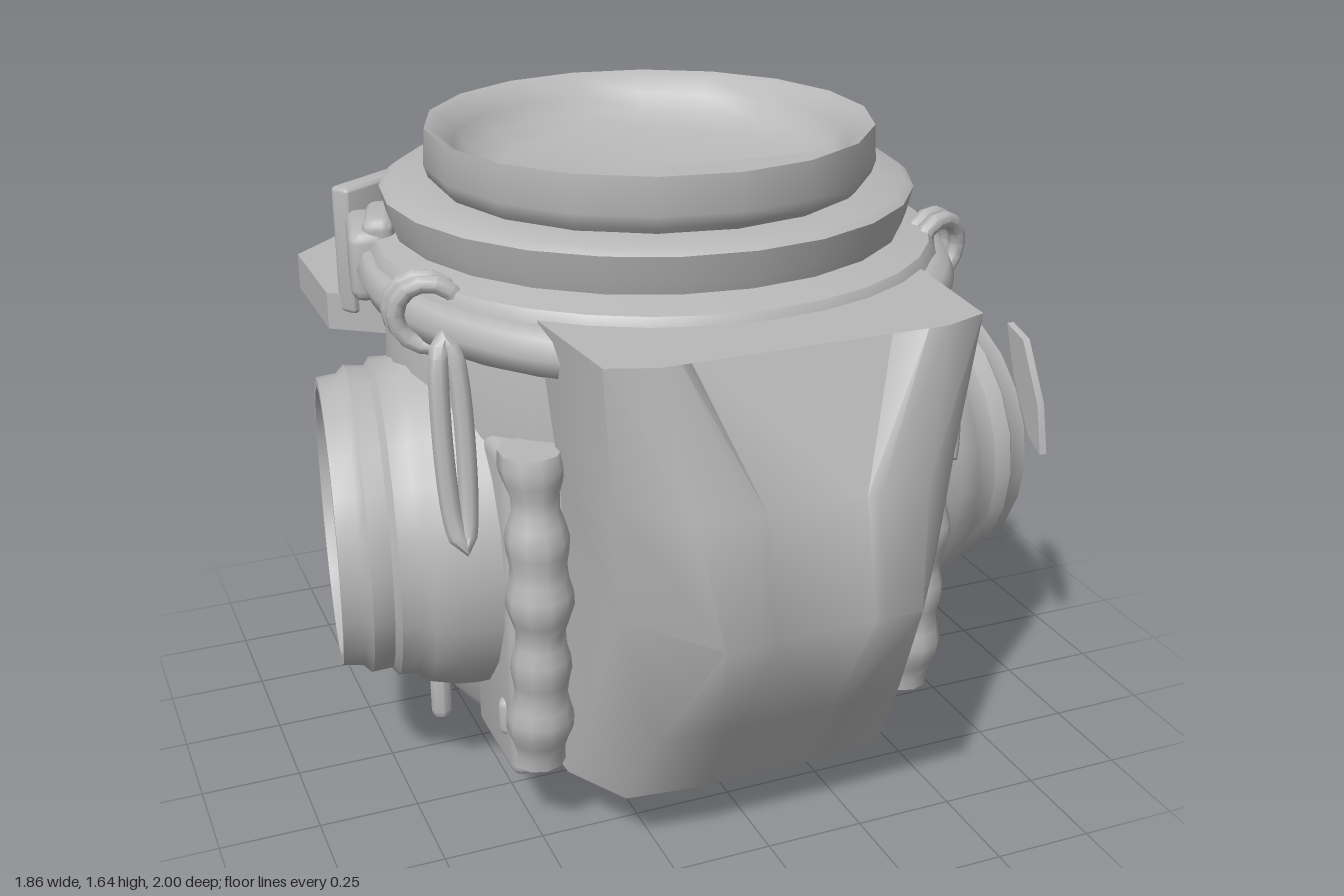
import * as THREE from 'three';
import { toCreasedNormals } from 'three/addons/utils/BufferGeometryUtils.js';
import { RoundedBoxGeometry } from 'three/addons/geometries/RoundedBoxGeometry.js';

const shellGrey = new THREE.MeshStandardMaterial({ color: 0xb8b8b8, side: THREE.DoubleSide });
shellGrey.name = 'shellGrey';

export function createModel() {
  const model = new THREE.Group();
  model.name = 'suitTorso';

  function add(name, geo, pos = [0, 0, 0], rot = [0, 0, 0], parent = model, crease = 0.8) {
    const mesh = new THREE.Mesh(toCreasedNormals(geo, crease), shellGrey);
    mesh.name = name;
    mesh.position.set(...pos);
    mesh.rotation.set(...rot);
    parent.add(mesh);
  }
  const lathe = (pts, n = 28) => new THREE.LatheGeometry(pts.map(p => new THREE.Vector2(...p)), n);
  const box = (w, h, d, r = 0.03) => new RoundedBoxGeometry(w, h, d, 2, r);
  const tube = (pts, r, closed = false, n = 24) => new THREE.TubeGeometry(
    new THREE.CatmullRomCurve3(pts.map(p => new THREE.Vector3(...p)), closed), n, r, 8, closed);
  const plate = (pts, depth) => new THREE.ExtrudeGeometry(
    new THREE.Shape(pts.map(q => new THREE.Vector2(...q))), { depth, bevelEnabled: false });

  // Circle segment beyond a straight chord, used as a lip inside openings
  function segment(radius, chord) {
    const a = Math.acos(chord / radius);
    const shape = new THREE.Shape();
    shape.absarc(0, 0, radius, -a, a, false);
    shape.closePath();
    return new THREE.ShapeGeometry(shape, 12);
  }

  // Skin across rows of points, each row mirrored in x, with closed ends
  function loft(rows) {
    const pos = [], idx = [];
    const n = rows[0].pts.length * 2;
    for (const { y, pts } of rows) {
      for (const [x, z] of pts) pos.push(-x, y, z);
      for (const [x, z] of [...pts].reverse()) pos.push(x, y, z);
    }
    for (let r = 0; r < rows.length - 1; r++) {
      for (let i = 0; i < n; i++) {
        const a = r * n + i, b = r * n + (i + 1) % n;
        if (i < n / 2) idx.push(a, b, a + n, b, b + n, a + n);
        else idx.push(a, b, b + n, a, b + n, a + n);
      }
    }
    const top = (rows.length - 1) * n;
    for (let i = 0; i < n / 2 - 1; i++) {
      const a = i, b = i + 1, c = n - 2 - i, d = n - 1 - i;
      idx.push(a, c, b, a, d, c, top + a, top + b, top + c, top + a, top + c, top + d);
    }
    const geo = new THREE.BufferGeometry();
    geo.setAttribute('position', new THREE.Float32BufferAttribute(pos, 3));
    geo.setIndex(idx);
    return geo;
  }

  // Torso shell
  const torso = lathe([[0, 0.19], [0.56, 0.16], [0.62, 0.24], [0.66, 0.42], [0.68, 0.7],
    [0.69, 1.0], [0.68, 1.2], [0.66, 1.3]], 32);
  torso.scale(1, 1, 0.9);
  add('torso', torso);

  // Collar flange and the two neck rings
  add('collarFlange', lathe([[0.62, 1.17], [0.68, 1.2], [0.71, 1.25], [0.71, 1.33], [0.69, 1.36], [0.58, 1.38]], 32),
    [0, 0, -0.01]);
  add('lowerNeckRing', lathe([[0.58, 1.36], [0.64, 1.38], [0.65, 1.41], [0.665, 1.475],
    [0.645, 1.49], [0.53, 1.495]], 24), [0, 0, -0.05]);
  add('upperNeckRing', lathe([[0.52, 1.48], [0.55, 1.51], [0.56, 1.54], [0.555, 1.63], [0.53, 1.62],
    [0.49, 1.58], [0.46, 1.535], [0.38, 1.51], [0.17, 1.48], [0, 1.475]], 18), [0, 0, -0.03]);
  const lip = segment(0.525, 0.37);
  lip.rotateX(-Math.PI / 2).rotateY(-Math.PI / 2);
  add('neckLip', lip, [0, 1.605, -0.03]);

  // Chest unit with a stepped recess in its upper edge
  add('chestUnit', loft([
    { y: 0.16, pts: [[0.44, 0.3], [0.43, 0.5], [0.34, 0.66], [0.17, 0.68], [0.13, 0.68]] },
    { y: 0.4, pts: [[0.43, 0.45], [0.42, 0.63], [0.31, 0.8], [0.16, 0.82], [0.12, 0.82]] },
    { y: 0.72, pts: [[0.42, 0.5], [0.4, 0.78], [0.24, 1.0], [0.15, 1.0], [0.12, 1.0]] },
    { y: 1.0, pts: [[0.44, 0.5], [0.42, 0.8], [0.28, 0.93], [0.145, 0.95], [0.12, 0.94]] },
    { y: 1.34, pts: [[0.48, 0.5], [0.45, 0.83], [0.34, 0.87], [0.29, 0.87], [0.25, 0.79]] },
  ]), [0, 0, 0], [0, 0, 0], model, 0.95);

  for (const s of [1, -1]) {
    const side = s > 0 ? 'left' : 'right';

    // Shoulder opening, turned slightly backward
    const arm = new THREE.Group();
    arm.name = side + 'ArmOpening';
    arm.position.set(0, 0.695, 0.125);
    arm.rotation.y = s * 0.15;
    model.add(arm);
    add(side + 'ArmRing', lathe([[0.45, 0.4], [0.44, 0.6], [0.425, 0.67], [0.4, 0.7], [0.4, 0.745],
      [0.38, 0.76], [0.385, 0.81], [0.365, 0.83], [0.36, 0.88], [0.335, 0.88],
      [0.31, 0.82], [0.26, 0.765], [0, 0.72]], 22), [0, 0, 0], [0, 0, -s * Math.PI / 2], arm);
    add(side + 'ArmLip', segment(0.335, 0.16), [s * 0.86, 0, 0], [0, -Math.PI / 2, 0], arm);

    // Lumpy pleated edge beside the chest unit
    const pleat = new THREE.CylinderGeometry(0.07, 0.07, 0.82, 10, 24);
    const p = pleat.attributes.position;
    for (let i = 0; i < p.count; i++) {
      const y = p.getY(i), k = 1 + 0.12 * Math.sin(y * 38) + 0.08 * Math.sin(y * 17);
      p.setXYZ(i, p.getX(i) * k, y, p.getZ(i) * k - 0.25 * y ** 2);
    }
    add(side + 'Pleat', pleat, [s * 0.5, 0.62, 0.53]);
    add(side + 'SidePanel', box(0.14, 0.85, 0.3), [s * 0.5, 0.6, 0.36]);

    // Hose round the collar with its double clamp
    const hose = [];
    for (let i = 0; i <= 8; i++) {
      const a = 0.58 + i * 0.2;
      hose.push([s * 0.68 * Math.sin(a), 1.27 + 0.003 * i, 0.72 * Math.cos(a)]);
    }
    add(side + 'CollarHose', tube(hose, 0.06), [0, 0, 0], [0, 0, 0], model, 1.2);
    for (const z of [0.22, 0.27]) {
      add(side + 'Clamp', new THREE.TorusGeometry(0.078, 0.022, 8, 14), [s * 0.66, 1.3, z], [0.1, s * 0.35, 0]);
    }
    add(side + 'ShoulderBlock', box(0.1, 0.18, 0.24), [s * 0.67, 1.29, -0.26], [0, s * 0.2, 0]);
    add(side + 'ShoulderKnob', box(0.08, 0.08, 0.2), [s * 0.64, 1.37, -0.24], [0, s * 0.3, 0]);

    // Hanging strap loop
    const [x, low, z] = s > 0 ? [0.55, 0.86, 0] : [-0.66, 0.81, -0.08];
    add(side + 'StrapLoop', tube([[x - 0.018, 1.24, 0.48], [x - 0.018, low + 0.06, 0.54], [x, low, 0.56],
      [x + 0.018, low + 0.06, 0.54], [x + 0.018, 1.24, 0.48], [x, 1.28, 0.46]], 0.024, true, 40), [0, 0, z]);

    // Peg and clip beneath the arm
    add(side + 'Peg', new THREE.CapsuleGeometry(0.027, 0.1, 3, 8), [s * 0.645, 0.235, 0.14]);
    add(side + 'LowerClip', box(0.08, 0.1, 0.1, 0.02), [s * 0.53, 0.32, 0.43], [0, s * 0.6, 0]);

    // Upright diagonal fin on the rear shelf
    add(side + 'RearFin', box(0.31, 0.34, 0.06, 0.012), [s * 0.57, 1.25, -0.52], [0, -s * 0.6, 0]);

    // Rounded hump at the lower side of the pack
    add(side + 'PackHump', box(0.24, 0.66, 0.34, 0.1), [s * 0.4, 0.55, -0.51], [0, s * 0.25, 0], model, 1);
  }

  // Ragged skirt with two points at the lower back
  add('lowerSkirt', plate([[-0.36, 0.22], [-0.35, 0.14], [-0.27, 0.09], [-0.21, 0.0], [-0.17, 0.07], [-0.1, 0.13],
    [0.05, 0.12], [0.12, 0.07], [0.17, 0.01], [0.21, 0.08], [0.27, 0.14], [0.3, 0.22]], 0.05), [0, 0.005, -0.37], [0.3, 0, 0]);

  // Loose flap on the left arm rim
  add('armFlap', plate([[0.22, 1.05], [0.3, 1.03], [0.39, 0.88], [0.42, 0.75], [0.36, 0.78], [0.27, 0.92]], 0.02),
    [0.94, 0, 0], [0, -Math.PI / 2, 0]);

  // Rear shelf with cut corners and a raised step behind the collar
  const shelf = plate([[-0.56, 1], [0.54, 1], [0.69, 0.81], [0.69, 0.43], [0.5, 0.3],
    [-0.5, 0.3], [-0.74, 0.47], [-0.74, 0.83]], 0.1);
  shelf.rotateX(-Math.PI / 2);
  add('rearShelf', shelf, [0, 1.03, 0]);
  const step = plate([[-0.28, 0.82], [0.23, 0.82], [0.45, 0.6], [0.45, 0.4], [-0.48, 0.4], [-0.48, 0.6]], 0.06);
  step.rotateX(-Math.PI / 2);
  add('shelfStep', step, [0, 1.12, 0]);
  add('shelfHandle', box(0.37, 0.14, 0.1, 0.02), [-0.02, 1.18, -0.92]);
  add('shelfUpright', box(0.5, 0.2, 0.04, 0.015), [-0.02, 1.2, -0.81]);

  // Stepped pack under the shelf
  add('packUpper', box(0.86, 0.68, 0.36, 0.09), [0, 0.7, -0.55], [0, 0, 0], model, 1);
  add('packPouch', box(0.56, 0.4, 0.3, 0.04), [0, 0.75, -0.765]);
  add('packLower', box(0.56, 0.24, 0.34, 0.06), [0, 0.49, -0.6]);
  add('packBase', box(0.8, 0.24, 0.34, 0.06), [0, 0.28, -0.4]);

  return model;
}
